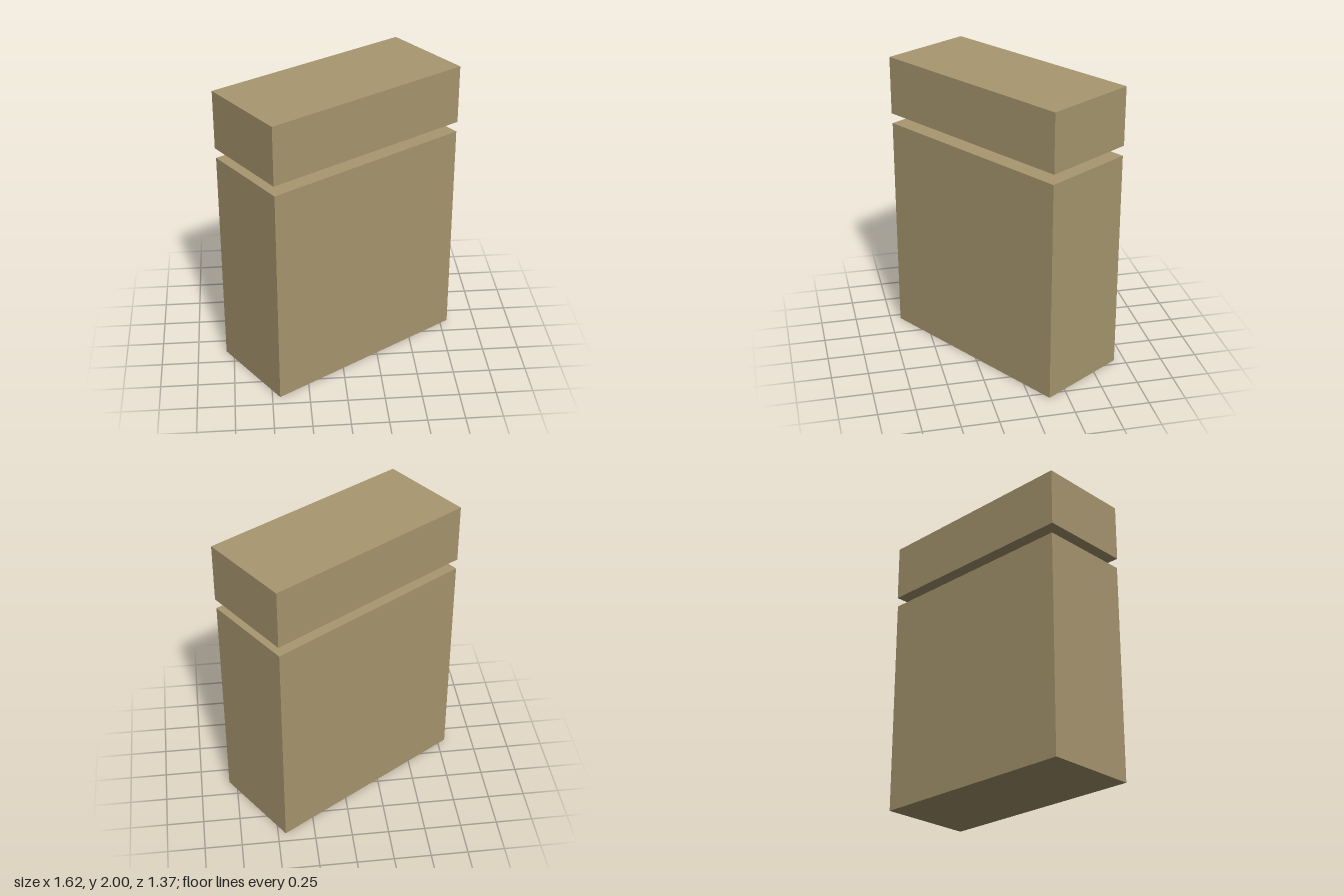
import * as THREE from 'three';

export function createModel() {
  const model = new THREE.Group();
  model.name = 'liddedBox';
  const tan = new THREE.MeshStandardMaterial({ color: 0xa8976f });
  tan.name = 'tan';

  // Stacked blocks: name, width, depth, bottom, top
  const blocks = [
    ['body', 1.49, 0.655, 0, 1.53],
    ['neck', 1.252, 0.413, 1.53, 1.6],
    ['lid', 1.5, 0.657, 1.6, 2],
  ];
  // The whole stack is turned about the vertical axis
  const stack = new THREE.Group();
  stack.name = 'stack';
  stack.rotation.y = 0.573;
  for (const [name, width, depth, bottom, top] of blocks) {
    const mesh = new THREE.Mesh(new THREE.BoxGeometry(width, top - bottom, depth), tan);
    mesh.name = name;
    mesh.position.y = (bottom + top) / 2;
    stack.add(mesh);
  }
  model.add(stack);
  return model;
}
